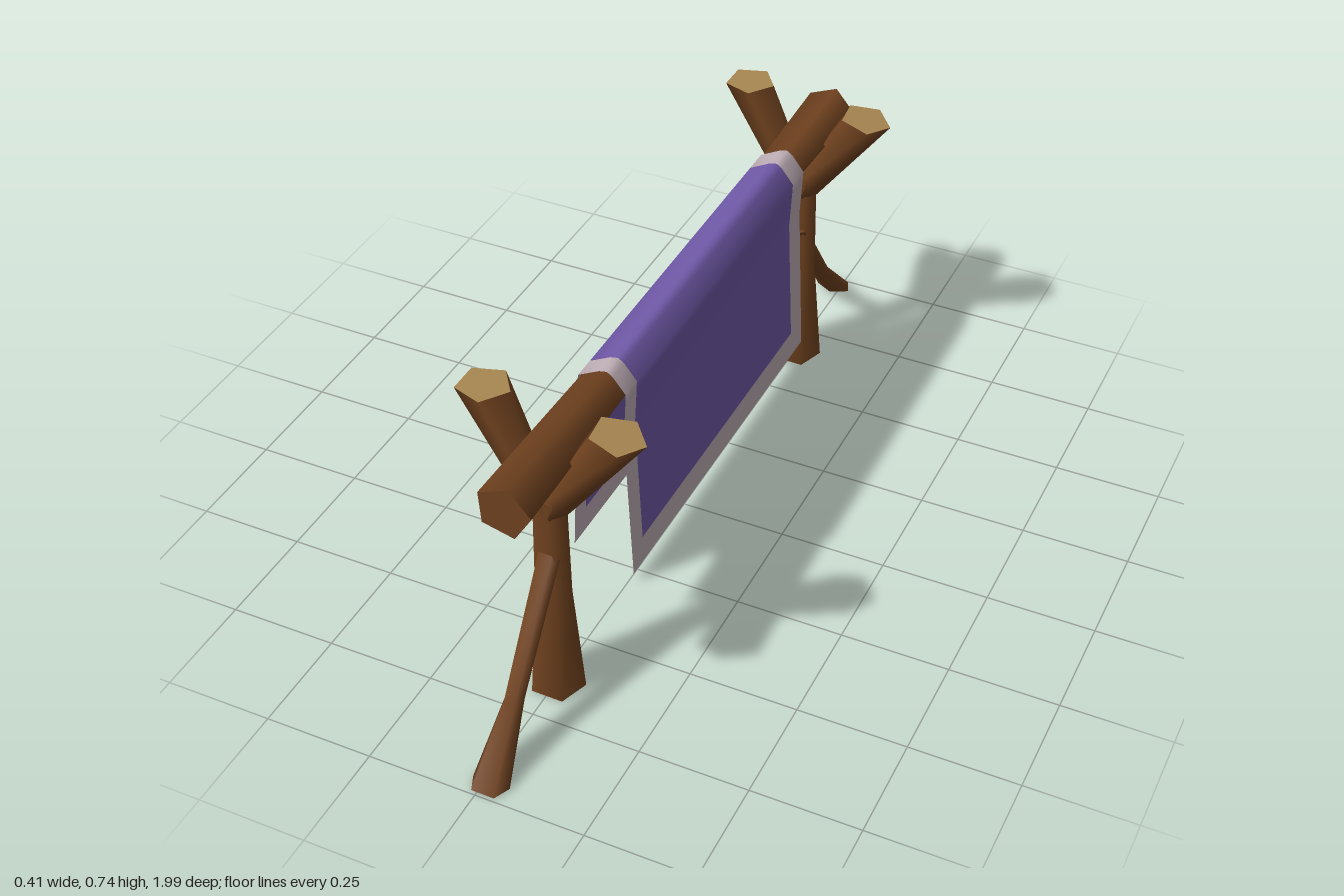
import * as THREE from 'three';

const brown = new THREE.MeshStandardMaterial({ name: 'bark brown', color: 0x70421f });
const tan = new THREE.MeshStandardMaterial({ name: 'cut wood tan', color: 0xa88752 });
const purple = new THREE.MeshStandardMaterial({ name: 'cloth purple', color: 0x7059a8, side: THREE.DoubleSide });
const pale = new THREE.MeshStandardMaterial({ name: 'cloth border', color: 0xbfaeb6, side: THREE.DoubleSide });

const SIDES = 5;
const V = (x, y, z) => new THREE.Vector3(x, y, z);

// One pentagon of points spanned by the axes u and v
function ring(c, u, v, phase = 0) {
  return Array.from({ length: SIDES }, (_, i) => {
    const a = phase + (i / SIDES) * Math.PI * 2;
    return c.clone().addScaledVector(u, Math.cos(a)).addScaledVector(v, Math.sin(a));
  });
}
// Horizontal pentagon, optionally sloping along x
const flat = (x, y, z, rx, rz, phase = 0, slope = 0) =>
  ring(V(x, y, z), V(rx, rx * slope, 0), V(0, 0, -rz), phase);

function mesh(name, points, index, material) {
  const g = new THREE.BufferGeometry().setFromPoints(points);
  g.setIndex(index);
  g.computeVertexNormals();
  const m = new THREE.Mesh(g, material);
  m.name = name;
  return m;
}

// Smooth-sided limb through the rings, with flat end caps
function limb(name, rings, endMaterial = brown) {
  const group = new THREE.Group();
  group.name = name;
  const side = [], fan = [], back = [];
  for (let r = 0; r < rings.length - 1; r++) {
    for (let i = 0; i < SIDES; i++) {
      const a = r * SIDES + i, b = r * SIDES + ((i + 1) % SIDES);
      side.push(a, b, b + SIDES, a, b + SIDES, a + SIDES);
    }
  }
  for (let i = 1; i < SIDES - 1; i++) {
    fan.push(0, i, i + 1);
    back.push(0, i + 1, i);
  }
  group.add(
    mesh(name + 'Bark', rings.flat(), side, brown),
    mesh(name + 'Start', rings[0], back, brown),
    mesh(name + 'End', rings[rings.length - 1], fan, endMaterial)
  );
  return group;
}

// Forked post; local z = 0 is the foot
function forkedPost(name) {
  const g = new THREE.Group();
  g.name = name;
  g.add(
    limb('trunk', [
      flat(0.003, 0.003, 0, 0.062, 0.06, 0.3),
      flat(-0.002, 0.27, -0.006, 0.042, 0.038, 0.3),
      flat(-0.004, 0.52, -0.01, 0.038, 0.034, 0.3),
    ]),
    limb('rightFork', [
      flat(-0.004, 0.48, -0.01, 0.04, 0.033),
      flat(-0.15, 0.742, -0.03, 0.06, 0.06),
    ], tan),
    limb('leftFork', [
      flat(-0.003, 0.48, -0.01, 0.04, 0.033, 0.1),
      flat(0.147, 0.711, -0.03, 0.06, 0.06, 0.1, -0.18),
    ], tan)
  );
  return g;
}

// Bent prop leaning outward against a post
const brace = (name) => limb(name, [
  flat(0.015, 0.006, 0.967, 0.045, 0.033, 0.3),
  flat(0.01, 0.14, 0.838, 0.022, 0.025, 0.3),
  flat(0, 0.39, 0.642, 0.027, 0.024, 0.3),
]);

// Sheet swept along z from an x, y path
function sheet(name, path, z0, z1, material) {
  const pts = path.flatMap(([x, y]) => [V(x, y, z0), V(x, y, z1)]);
  const index = [];
  for (let i = 0; i < path.length - 1; i++) {
    const a = i * 2;
    index.push(a, a + 1, a + 3, a, a + 3, a + 2);
  }
  return mesh(name, pts, index, material);
}

export function createModel() {
  const model = new THREE.Group();
  model.name = 'clothRack';

  // Posts and props at both ends
  const front = forkedPost('frontPost');
  front.position.z = 0.642;
  const rear = forkedPost('rearPost');
  rear.position.z = -0.661;
  const rearBrace = brace('rearBrace');
  rearBrace.rotation.y = Math.PI;
  model.add(front, rear, brace('frontBrace'), rearBrace);

  // Crossbar log, slimmer in the middle
  const bar = [[-0.82, 0.062], [-0.5, 0.053], [0.4, 0.053], [0.83, 0.063]].map(([z, r]) =>
    ring(V(0.006, 0.633, z), V(r, 0, 0), V(0, r, 0), 1.33));
  model.add(limb('crossbar', bar));

  // Draped cloth with a pale border
  const cloth = new THREE.Group();
  cloth.name = 'cloth';
  const rightHem = [[-0.068, 0.19], [-0.065, 0.255]];
  const leftHem = [[0.072, 0.22], [0.075, 0.155]];
  const drape = [
    rightHem[1], [-0.053, 0.5], [-0.05, 0.63], [-0.044, 0.662], [0.004, 0.687],
    [0.022, 0.691], [0.035, 0.682], [0.064, 0.645], [0.063, 0.62], [0.058, 0.53], leftHem[0],
  ];
  const whole = [rightHem[0], ...drape, leftHem[1]];
  cloth.add(
    sheet('clothField', drape, -0.453, 0.363, purple),
    sheet('rightHem', rightHem, -0.453, 0.363, pale),
    sheet('leftHem', leftHem, -0.453, 0.363, pale),
    sheet('rearBorder', whole, -0.515, -0.453, pale),
    sheet('frontBorder', whole, 0.363, 0.415, pale)
  );
  model.add(cloth);
  return model;
}
